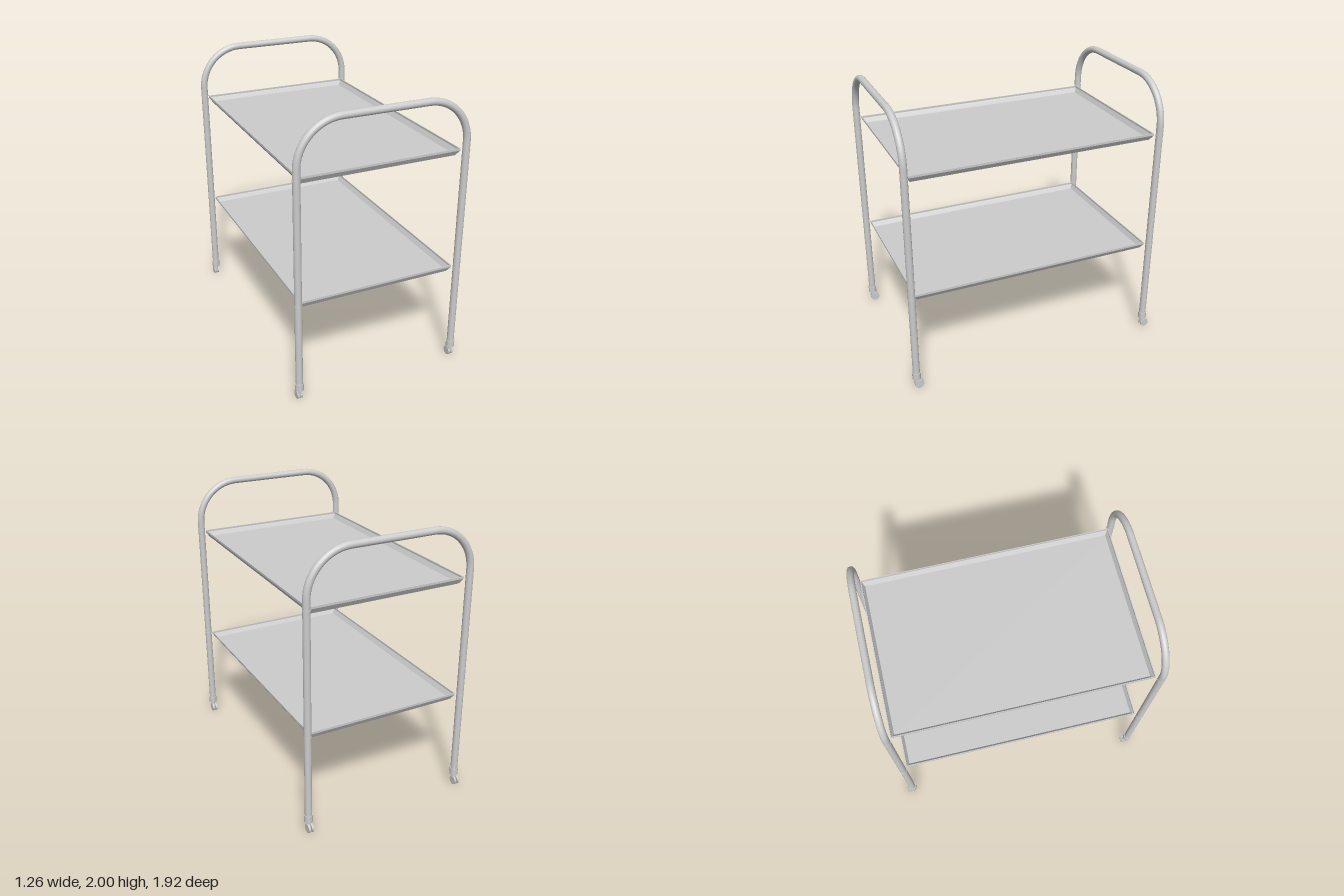
import * as THREE from 'three';

const grey = new THREE.MeshStandardMaterial({ color: 0xcccccc });
const flat = new THREE.MeshStandardMaterial({ color: 0xcccccc, flatShading: true });

const LEG_X = 0.598, TUBE_R = 0.025, BEND = 0.3, BEND_Y = 1.675;
const FRAME_Z = [0.93, -0.912];
const TRAY_Y = [1.564, 0.692];

function add(parent, name, geometry, x, y, z, material = grey) {
  const mesh = new THREE.Mesh(geometry, material);
  mesh.name = name;
  mesh.position.set(x, y, z);
  parent.add(mesh);
  return mesh;
}

const rod = (radius, length, sides = 20) => new THREE.CylinderGeometry(radius, radius, length, sides);

// Shallow tray: rectangular loops run up the outside, over the rim and down to the floor
function trayGeometry() {
  const loops = [ // half width, half depth, height
    [0.55, 0.872, 0], [0.574, 0.893, 0.036], [0.574, 0.893, 0.051],
    [0.568, 0.887, 0.051], [0.568, 0.887, 0.038], [0.547, 0.869, 0.006],
  ];
  const corners = [[1, 1], [1, -1], [-1, -1], [-1, 1]];
  const positions = loops.flatMap(([w, d, y]) => corners.flatMap(([sx, sz]) => [sx * w, y, sz * d]));
  const index = [0, 2, 1, 0, 3, 2];
  for (let i = 0; i < loops.length - 1; i++) {
    for (let j = 0; j < 4; j++) {
      const a = i * 4 + j, b = i * 4 + (j + 1) % 4;
      index.push(a, b, b + 4, a, b + 4, a + 4);
    }
  }
  const f = (loops.length - 1) * 4;
  index.push(f, f + 1, f + 2, f, f + 2, f + 3);
  const geometry = new THREE.BufferGeometry();
  geometry.setAttribute('position', new THREE.Float32BufferAttribute(positions, 3));
  geometry.setIndex(index);
  const faceted = geometry.toNonIndexed();
  faceted.computeVertexNormals();
  return faceted;
}

// Twin-wheel caster trailing towards the back
function caster() {
  const group = new THREE.Group();
  group.name = 'caster';
  add(group, 'sleeve', rod(0.03, 0.05), 0, 0.105, 0);
  add(group, 'stem', rod(0.015, 0.05, 16), 0, 0.06, 0);
  add(group, 'wheelMount', new THREE.BoxGeometry(0.012, 0.036, 0.03), 0, 0.038, -0.008);
  for (const side of [-1, 1]) {
    const wheel = add(group, 'wheel', rod(0.032, 0.013, 20), side * 0.012, 0.032, -0.016);
    wheel.rotation.z = Math.PI / 2;
  }
  const axle = add(group, 'axle', rod(0.008, 0.036, 10), 0, 0.032, -0.016);
  axle.rotation.z = Math.PI / 2;
  return group;
}

// Bent tube hoop with two legs
function hoop() {
  const group = new THREE.Group();
  group.name = 'hoopFrame';
  const legBottom = 0.09;
  for (const side of [-1, 1]) {
    add(group, 'leg', rod(TUBE_R, BEND_Y - legBottom), side * LEG_X, (BEND_Y + legBottom) / 2, 0);
    const bend = add(group, 'bend', new THREE.TorusGeometry(BEND, TUBE_R, 20, 20, Math.PI / 2),
      side * (LEG_X - BEND), BEND_Y, 0);
    if (side < 0) bend.rotation.y = Math.PI;
    // Thin fixing collars where the tray rims meet the leg
    for (const y of TRAY_Y) add(group, 'trayCollar', rod(0.027, 0.006), side * LEG_X, y + 0.048, 0);
    const foot = caster();
    foot.position.x = side * LEG_X;
    group.add(foot);
  }
  const bar = add(group, 'handleBar', rod(TUBE_R, 2 * (LEG_X - BEND)), 0, BEND_Y + BEND, 0);
  bar.rotation.z = Math.PI / 2;
  return group;
}

export function createModel() {
  const model = new THREE.Group();
  model.name = 'trolley';
  for (const z of FRAME_Z) {
    const frame = hoop();
    frame.position.z = z;
    model.add(frame);
  }
  const tray = trayGeometry();
  const middle = (FRAME_Z[0] + FRAME_Z[1]) / 2;
  TRAY_Y.forEach((y, i) => add(model, i ? 'lowerTray' : 'upperTray', tray, 0, y, middle, flat));
  return model;
}
